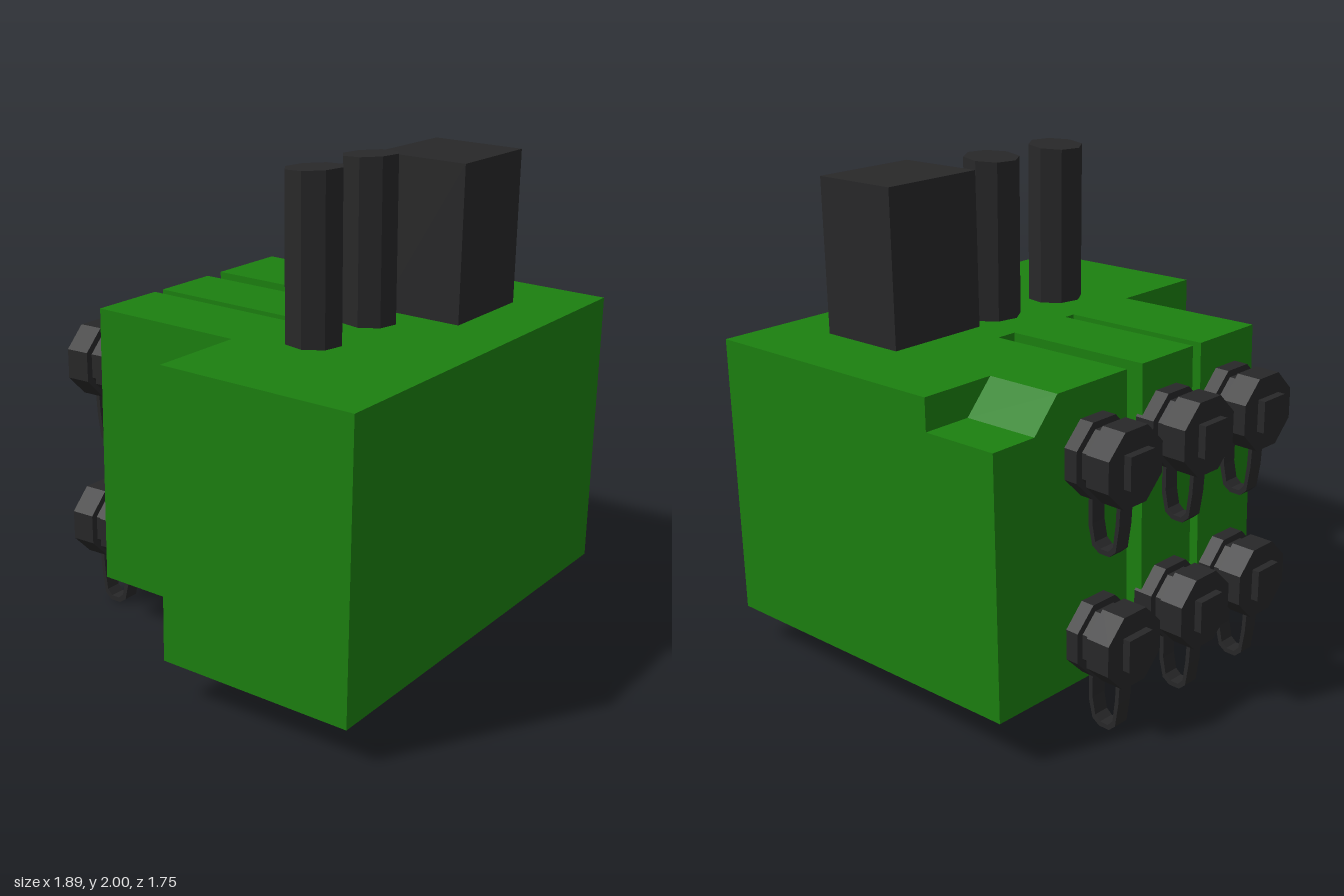
import * as THREE from 'three';

const green = new THREE.MeshStandardMaterial({ color: 0x1c8010, flatShading: true });
const black = new THREE.MeshStandardMaterial({ color: 0x282829, flatShading: true });

// The housing leans slightly: it rises toward the back and tips forward with height
function lean(geo) {
  const p = geo.attributes.position;
  for (let i = 0; i < p.count; i++) {
    const y = p.getY(i), z = p.getZ(i);
    p.setY(i, y + 0.028 * (0.86 - z));
    p.setZ(i, z + 0.018 * (y - 0.74));
  }
  geo.computeVertexNormals();
  return geo;
}

const shapeOf = (pts) => new THREE.Shape(pts.map(([x, y]) => new THREE.Vector2(x, y)));
const extrude = (shape, depth) => new THREE.ExtrudeGeometry(shape, { depth, bevelEnabled: false });

function add(parent, name, geo, mat, x = 0, y = 0, z = 0) {
  const mesh = new THREE.Mesh(geo, mat);
  mesh.name = name;
  mesh.position.set(x, y, z);
  parent.add(mesh);
  return mesh;
}

function ringPoints(radius, sides) {
  const pts = [];
  for (let i = 0; i < sides; i++) {
    const a = ((i + 0.5) / sides) * Math.PI * 2;
    pts.push([Math.cos(a) * radius, Math.sin(a) * radius]);
  }
  return pts;
}

// Capped coupling with a hanging strap, local origin on its axis
function createConnector() {
  const g = new THREE.Group();
  g.name = 'connector';
  const disc = (name, r, z0, z1) => {
    const geo = new THREE.CylinderGeometry(r, r, z0 - z1, 8);
    geo.rotateY(Math.PI / 8).rotateX(Math.PI / 2);
    add(g, name, geo, black, 0, 0, (z0 + z1) / 2);
  };
  disc('flange', 0.16, -0.6, -0.685);
  disc('neck', 0.13, -0.68, -0.74);
  disc('cap', 0.16, -0.73, -0.835);
  add(g, 'capKnob', new THREE.BoxGeometry(0.13, 0.13, 0.06), black, 0, 0, -0.837);

  // strap outline in the z-y plane, open at the top
  const outer = [[-0.643, -0.12], [-0.643, -0.27], [-0.662, -0.345], [-0.695, -0.367],
    [-0.745, -0.367], [-0.775, -0.34], [-0.79, -0.24], [-0.797, -0.12]];
  const inner = outer.map(([z, y]) => [-0.72 + (z + 0.72) * 0.76, -0.12 + (y + 0.12) * 0.92]);
  const strap = extrude(shapeOf([...outer, ...inner.reverse()]), 0.068);
  strap.rotateY(-Math.PI / 2).translate(0.034, 0, 0);
  add(g, 'strap', strap, black);
  return g;
}

export function createModel() {
  const model = new THREE.Group();
  model.name = 'valveBlock';

  // Housing: plan outline with a stepped corner and two through slots
  const plan = shapeOf([
    [-0.945, 0.86], [-0.945, 0.03], [-0.53, 0.03], [-0.53, -0.632], [-0.195, -0.632],
    [-0.195, 0.03], [-0.145, 0.03], [-0.145, -0.632], [0.155, -0.632], [0.155, 0.03],
    [0.245, 0.03], [0.245, -0.632], [0.62, -0.632], [0.62, -0.3], [0.945, -0.3], [0.945, 0.86],
  ]);
  const body = extrude(plan, 1.17).rotateX(Math.PI / 2).translate(0, 1.32, 0);
  add(model, 'housing', lean(body), green);

  // Back corner with a sunken ledge and sloping wall
  const corner = extrude(shapeOf([
    [0.62, 0.15], [0.945, 0.15], [0.945, 1.19], [0.74, 1.19], [0.62, 1.32],
  ]), 0.332).translate(0, 0, -0.632);
  add(model, 'notchedCorner', lean(corner), green);

  // Octagonal collar underneath
  const collar = shapeOf(ringPoints(0.165, 8));
  collar.holes.push(shapeOf(ringPoints(0.105, 8)));
  add(model, 'bottomCollar', extrude(collar, 0.07).rotateX(Math.PI / 2), green, 0.4, 0.192, -0.23);

  // Two posts and a coil box on top
  for (const x of [-0.363, 0.013]) {
    const post = new THREE.CylinderGeometry(0.115, 0.115, 0.74, 8);
    post.rotateY(Math.PI / 16);
    const p = post.attributes.position;
    for (let i = 0; i < p.count; i++) {
      p.setY(i, p.getY(i) + 0.05 * p.getZ(i));
    }
    post.computeVertexNormals();
    add(model, 'post', post, black, x, 1.625, 0.3);
  }
  const box = new THREE.BoxGeometry(0.45, 0.7, 0.397).translate(0.405, 1.605, 0.4);
  add(model, 'coilBox', lean(box), black);

  // Two rows of three connectors on the back
  for (const y of [0.372, 1.09]) {
    for (const x of [-0.355, 0.015, 0.44]) {
      const c = createConnector();
      c.position.set(x, y, y < 0.7 ? -0.01 : 0);
      model.add(c);
    }
  }
  return model;
}
